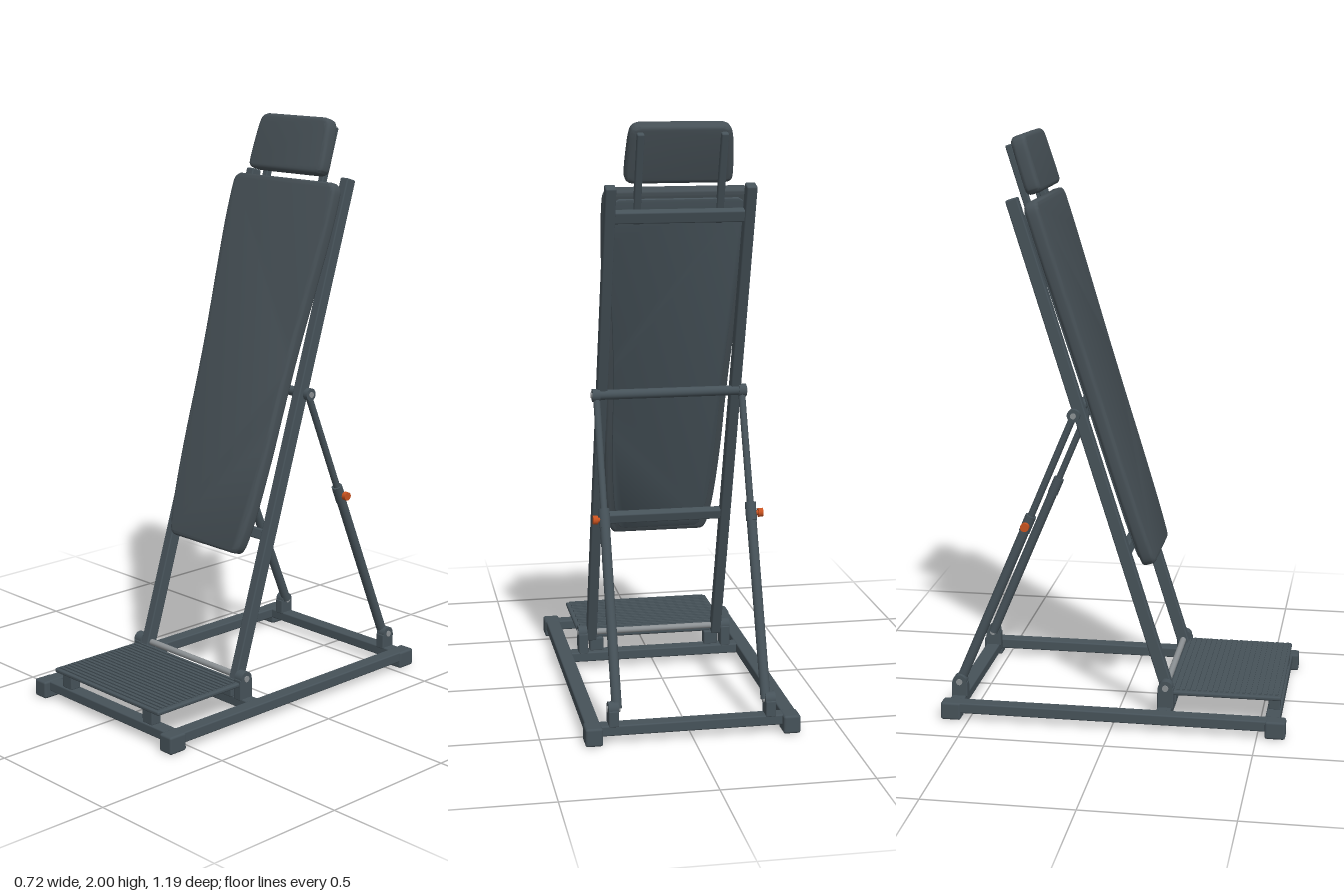
import * as THREE from 'three';
import { toCreasedNormals } from 'three/addons/utils/BufferGeometryUtils.js';
import { RoundedBoxGeometry } from 'three/addons/geometries/RoundedBoxGeometry.js';

const mat = (name, color) => {
  const m = new THREE.MeshStandardMaterial({ color });
  m.name = name;
  return m;
};

export function createModel() {
  const frame = mat('frame grey', 0x465259);
  const cushion = mat('cushion grey', 0x465056);
  const steel = mat('bare steel', 0x8c9194);
  const orange = mat('knob orange', 0xc8521f);

  const model = new THREE.Group();
  model.name = 'recliningBoard';

  const add = (parent, name, geo, material, x = 0, y = 0, z = 0) => {
    const mesh = new THREE.Mesh(geo, material);
    mesh.name = name;
    mesh.position.set(x, y, z);
    parent.add(mesh);
    return mesh;
  };
  const bar = (parent, name, w, h, d, x, y, z, r = 0.005) =>
    add(parent, name, new RoundedBoxGeometry(w, h, d, 2, r), frame, x, y, z);
  const rodX = (parent, name, r, len, material, x, y, z) => {
    const geo = new THREE.CylinderGeometry(r, r, len, 20).rotateZ(Math.PI / 2);
    return add(parent, name, geo, material, x, y, z);
  };
  // Tube between two points
  const tube = (parent, name, a, b, r, material) => {
    const dir = b.clone().sub(a);
    const mesh = add(parent, name, new THREE.CylinderGeometry(r, r, dir.length(), 16), material);
    mesh.position.copy(a).lerp(b, 0.5);
    mesh.quaternion.setFromUnitVectors(new THREE.Vector3(0, 1, 0), dir.normalize());
    return mesh;
  };
  // Upholstered slab: a symmetric outline with a soft bevel, back face at z = 0
  const slab = (right, depth, bevel) => {
    const pts = right.map(([x, y]) => new THREE.Vector2(x, y));
    const all = [...pts, ...pts.slice().reverse().map((p) => new THREE.Vector2(-p.x, p.y))];
    const geo = new THREE.ExtrudeGeometry(new THREE.Shape(all), {
      depth: depth - 2 * bevel, bevelEnabled: true, bevelThickness: bevel,
      bevelSize: bevel, bevelOffset: -bevel, bevelSegments: 4,
    }).translate(0, 0, bevel);
    return toCreasedNormals(geo, 0.7);
  };

  // Floor frame
  const base = new THREE.Group();
  base.name = 'base';
  model.add(base);
  for (const s of [1, -1]) {
    bar(base, 'baseRail', 0.05, 0.037, 1.16, s * 0.33, 0.043, 0);
    for (const e of [1, -1]) bar(base, 'foot', 0.058, 0.062, 0.07, s * 0.331, 0.031, e * 0.562, 0.008);
  }
  for (const z of [-0.55, 0.175, 0.55]) bar(base, 'baseCrossbar', 0.62, 0.035, 0.05, 0, 0.043, z);

  // Hinge brackets with rounded tops
  for (const s of [1, -1]) {
    for (const [z, y] of [[0.178, 0.13], [-0.548, 0.11]]) {
      bar(base, 'hingeBracket', 0.034, y - 0.055, 0.056, s * 0.263, (y + 0.055) / 2, z, 0.004);
      rodX(base, 'hingeKnuckle', 0.025, 0.034, frame, s * 0.263, y, z);
      rodX(base, 'hingeBolt', 0.011, 0.044, steel, s * 0.261, y, z);
    }
  }
  rodX(base, 'hingeAxle', 0.011, 0.5, steel, 0, 0.13, 0.177);

  // Ribbed standing platform
  const platform = new THREE.Group();
  platform.name = 'footPlatform';
  model.add(platform);
  bar(platform, 'platformPlate', 0.548, 0.015, 0.39, 0, 0.112, 0.38, 0.006);
  for (let i = 0; i < 20; i++)
    add(platform, 'gripRib', new THREE.BoxGeometry(0.52, 0.006, 0.01), frame, 0, 0.121, 0.2 + i * 0.0189);
  for (const s of [1, -1]) {
    bar(platform, 'platformSupport', 0.05, 0.05, 0.04, s * 0.212, 0.083, 0.55);
    bar(platform, 'platformSupport', 0.05, 0.05, 0.04, s * 0.212, 0.083, 0.19);
  }

  // Leaning backboard: local y runs up the rails, local z faces the user
  const board = new THREE.Group();
  board.name = 'backboard';
  board.position.set(0, 0.13, 0.175);
  board.rotation.x = -0.304;
  model.add(board);
  for (const s of [1, -1]) {
    bar(board, 'sideRail', 0.035, 1.77, 0.042, s * 0.231, 0.86, 0);
    bar(board, 'headrestPost', 0.024, 0.31, 0.024, s * 0.137, 1.76, 0.024);
  }
  bar(board, 'lowerCrossbar', 0.44, 0.036, 0.032, 0, 0.49, 0.004);
  bar(board, 'upperCrossbar', 0.44, 0.04, 0.032, 0, 1.64, 0);
  rodX(board, 'middleCrossbar', 0.017, 0.5, frame, 0, 0.996, -0.016);

  const padCurve = new THREE.SplineCurve([
    [0.145, 0.405], [0.165, 0.412], [0.18, 0.45], [0.195, 0.56], [0.206, 0.75], [0.211, 0.95],
    [0.219, 1.14], [0.234, 1.35], [0.246, 1.53], [0.248, 1.66], [0.242, 1.7], [0.222, 1.716],
  ].map(([x, y]) => new THREE.Vector2(x, y)));
  const padSide = padCurve.getPoints(44).map((p) => [p.x, p.y]);
  add(board, 'backPad', slab(padSide, 0.05, 0.014), cushion, 0, 0, 0.029);
  const backing = padSide.map(([x, y]) => [x - 0.025, 1.06 + (y - 1.06) * 0.96]);
  add(board, 'padBacking', slab(backing, 0.012, 0.002), frame, 0, 0, 0.02);

  const headSide = new THREE.SplineCurve([
    [0.15, 1.735], [0.17, 1.742], [0.178, 1.765], [0.175, 1.84], [0.169, 1.9], [0.158, 1.926], [0.135, 1.935],
  ].map(([x, y]) => new THREE.Vector2(x, y))).getPoints(28).map((p) => [p.x, p.y]);
  add(board, 'headPad', slab(headSide, 0.054, 0.015), cushion, 0, 0, 0.036);

  // Telescopic rear struts with locking knobs
  for (const s of [1, -1]) {
    const strut = new THREE.Group();
    strut.name = s > 0 ? 'leftStrut' : 'rightStrut';
    model.add(strut);
    const top = new THREE.Vector3(s * 0.251, 1.075, -0.14);
    const foot = new THREE.Vector3(s * 0.25, 0.11, -0.548);
    const joint = top.clone().lerp(foot, 0.37);
    tube(strut, 'innerTube', top, joint, 0.012, frame);
    tube(strut, 'outerTube', joint, foot, 0.017, frame);
    tube(strut, 'tubeCollar', joint, top.clone().lerp(foot, 0.43), 0.019, frame);
    rodX(strut, 'strutPivot', 0.022, 0.026, frame, s * 0.253, 1.075, -0.14);
    rodX(strut, 'pivotBolt', 0.01, 0.032, steel, s * 0.254, 1.075, -0.14);
    rodX(strut, 'knobStem', 0.008, 0.025, orange, s * 0.271, 0.685, -0.307);
    rodX(strut, 'knobHead', 0.015, 0.016, orange, s * 0.282, 0.685, -0.307);
  }
  return model;
}
